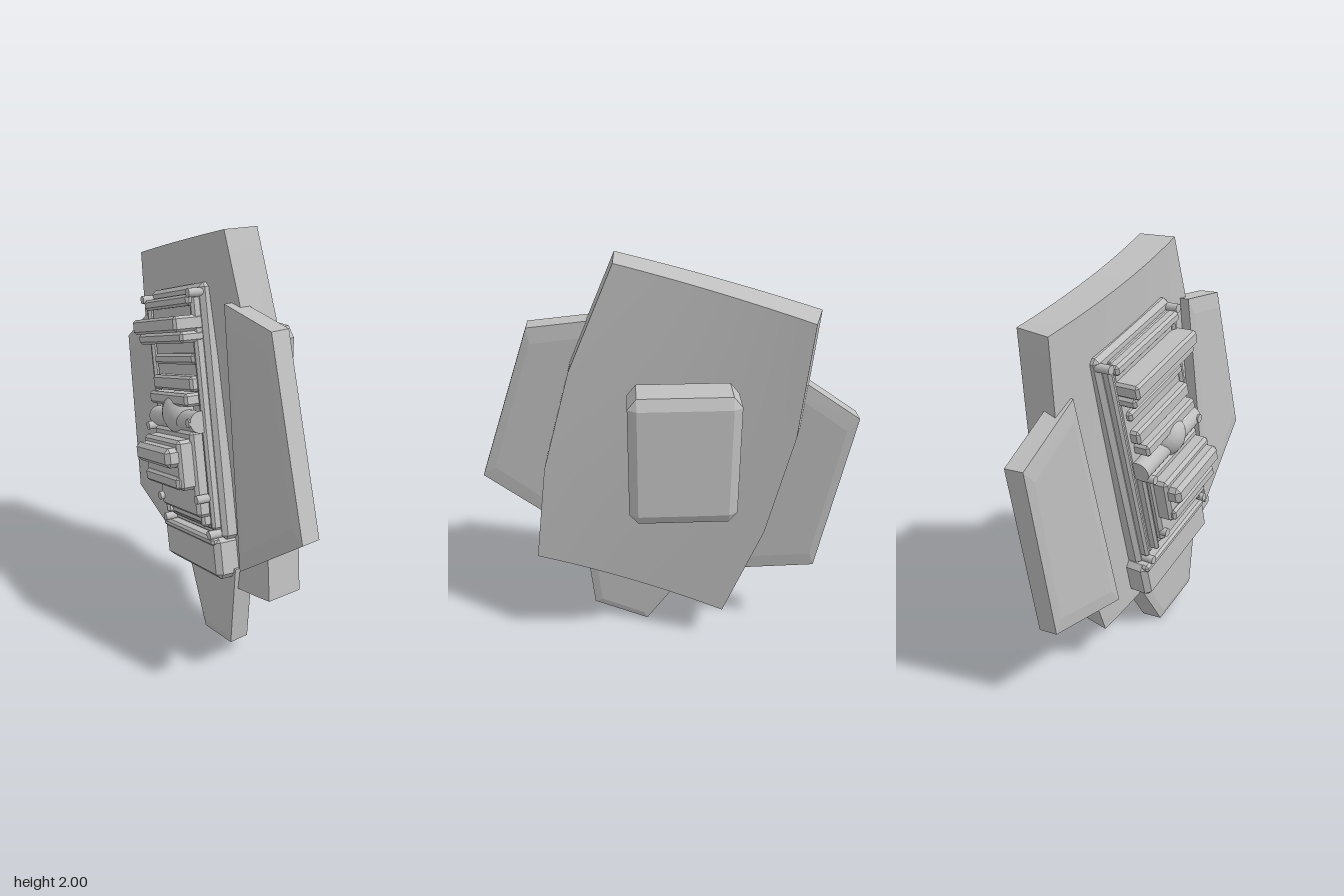
import * as THREE from 'three';
import { ConvexGeometry } from 'three/addons/geometries/ConvexGeometry.js';

const grey = new THREE.MeshStandardMaterial({ color: 0xc0c0c0 });
grey.name = 'plain grey';

function add(parent, name, geometry) {
  const mesh = new THREE.Mesh(geometry, grey);
  mesh.name = name;
  parent.add(mesh);
  return mesh;
}

// Box with all edges chamfered by c (one number or one per axis)
function chamferBox(w, h, d, c) {
  const cut = Array.isArray(c) ? c : [c, c, c];
  const pts = [];
  for (const x of [-1, 1]) for (const y of [-1, 1]) for (const z of [-1, 1]) {
    for (let k = 0; k < 3; k++) {
      pts.push(new THREE.Vector3(
        x * (w / 2 - (k === 0 ? 0 : cut[0])),
        y * (h / 2 - (k === 1 ? 0 : cut[1])),
        z * (d / 2 - (k === 2 ? 0 : cut[2]))));
    }
  }
  return new ConvexGeometry(pts);
}

// Flat plate from a [z, y] outline; faceX gives its outer face, with raised centres
function plate(outline, faceX, thick, raise) {
  const n = outline.length;
  const cz = outline.reduce((a, p) => a + p[0], 0) / n;
  const cy = outline.reduce((a, p) => a + p[1], 0) / n;
  const pts = [];
  for (const [z, y] of outline) {
    const iz = cz + (z - cz) * 0.8, iy = cy + (y - cy) * 0.84;
    pts.push(
      new THREE.Vector3(faceX(z, y), y, z),
      new THREE.Vector3(faceX(z, y) + thick, y, z),
      new THREE.Vector3(faceX(iz, iy) - raise, iy, iz),
      new THREE.Vector3(faceX(iz, iy) + thick + raise, iy, iz));
  }
  return new ConvexGeometry(pts);
}

// Thick curved slab, bent across its width and bulging at mid height
function slabGeometry() {
  const geo = new THREE.BoxGeometry(1, 1, 1, 1, 3, 12);
  const p = geo.attributes.position;
  const mix = THREE.MathUtils.lerp;
  for (let i = 0; i < p.count; i++) {
    const s = 0.5 - p.getZ(i), t = p.getY(i) + 0.5;
    const outer = p.getX(i) < 0;
    const bulge = t > 0.1 && t < 0.9 ? 0.07 * (1 - 2 * s) : 0;
    let x = 0.07 + 0.15 * s - (0.07 - 0.02 * s) * (1 - t) - 0.12 * s * (1 - s)
      + (0.02 + 0.05 * s) * t * (1 - t);
    let z = mix(mix(0.64, -0.30, s), mix(0.21, -0.635, s), t) + bulge;
    const y = mix(mix(0.45, 0.2, s), mix(2.0, 1.775, s), t) + bulge * 0.25;
    if (outer) {
      x -= 0.173;
      z -= 0.2 * (0.03 + 0.26 * s);
    }
    p.setXYZ(i, x, y, z);
  }
  geo.computeVertexNormals();
  return geo;
}

export function createModel() {
  const model = new THREE.Group();
  model.name = 'armourPanel';

  add(model, 'curvedSlab', slabGeometry());

  // Side wings and lower tab
  add(model, 'frontWing', plate(
    [[0.27, 1.705], [0.61, 1.66], [0.89, 0.86], [0.47, 0.535]],
    (z, y) => -0.18 - 0.08 * (z - 0.61) + 0.035 * (y - 1.66), 0.09, 0.008));
  add(model, 'backWing', plate(
    [[-0.58, 1.49], [-0.89, 1.29], [-0.76, 0.44], [-0.31, 0.36]],
    (z, y) => 0.07 - 0.2 * (z + 0.89) + 0.01 * (y - 1.29), 0.085, 0.008));
  add(model, 'lowerTab', plate(
    [[0.40, 0.50], [0.36, 0.08], [0.08, 0], [-0.18, 0.42]],
    (z) => -0.17 - 0.2 * (z - 0.36), 0.1, 0.008));

  // Pad and its mount on the concave side
  add(model, 'pad', chamferBox(0.19, 0.63, 0.49, [0.025, 0.05, 0.04])).position.set(0.275, 1.195, -0.08);
  add(model, 'padMount', chamferBox(0.17, 0.38, 0.40, 0.03)).position.set(0.135, 1.2, -0.08);
  const hinge = add(model, 'padHinge', new THREE.CylinderGeometry(0.13, 0.13, 0.46, 32));
  hinge.rotation.x = Math.PI / 2;
  hinge.position.set(0.185, 1.2, -0.08);

  // Machinery on the convex side: u to the front, v up, h outwards
  const details = new THREE.Group();
  details.name = 'machinery';
  const e1 = new THREE.Vector3(-0.16, 0.25, 0.96).normalize();
  const e2 = new THREE.Vector3(0.065, 0.97, -0.25);
  e2.addScaledVector(e1, -e1.dot(e2)).normalize();
  const out = new THREE.Vector3().crossVectors(e1, e2);
  details.quaternion.setFromRotationMatrix(new THREE.Matrix4().makeBasis(e1, e2, out));
  details.position.set(-0.115, 1.13, -0.058);
  model.add(details);

  const block = (name, u, v, w, h, h0, h1, c = 0.012) =>
    add(details, name, chamferBox(w, h, h1 - h0, c)).position.set(u, v, (h0 + h1) / 2);

  block('basePlate', 0, 0, 0.58, 1.16, -0.08, 0.01, 0.02);
  block('innerPlate', 0.01, 0, 0.48, 1.08, 0, 0.035, 0.012);
  for (const side of [-1, 1]) {
    block('outerRail', 0.25 * side, 0, 0.035, 1.06, 0, 0.05);
    block('innerRail', 0.2 * side, -0.29, 0.03, 0.46, 0.02, 0.075);
  }

  // Cross bars
  block('topBar', 0.01, 0.51, 0.5, 0.05, 0, 0.07);
  block('upperBar', 0.02, 0.41, 0.5, 0.07, 0, 0.145);
  block('upperBarLip', 0.02, 0.35, 0.5, 0.05, 0, 0.12);
  block('slatBar', 0.02, 0.25, 0.44, 0.05, 0, 0.06);
  block('middleBar', 0.02, 0.14, 0.44, 0.07, 0, 0.08);
  block('middleBarLip', 0.02, 0.07, 0.42, 0.06, 0, 0.11);

  // Roller and low dome
  const roller = add(details, 'roller', new THREE.CylinderGeometry(0.05, 0.05, 0.48, 20));
  roller.rotation.z = Math.PI / 2;
  roller.position.set(0.02, -0.03, 0.06);
  add(details, 'dome', new THREE.SphereGeometry(0.11, 28, 16)).position.set(0.04, 0, 0.03);

  // Stepped block stack
  block('stackBase', 0.02, -0.27, 0.42, 0.4, 0, 0.1, 0.015);
  block('stackMiddle', 0.02, -0.22, 0.4, 0.23, 0.08, 0.165, 0.015);
  block('stackTop', 0.02, -0.18, 0.38, 0.09, 0.12, 0.22, 0.02);
  block('stackFoot', 0.02, -0.3, 0.38, 0.06, 0.12, 0.18);
  block('lowerSlat', 0.02, -0.49, 0.38, 0.05, 0, 0.06);

  // Ledge below the panel
  block('lowerLedge', -0.02, -0.665, 0.59, 0.2, -0.09, 0.05, 0.025);
  block('ledgeLip', -0.02, -0.585, 0.56, 0.04, -0.02, 0.06);

  // Pins
  const pinGeo = new THREE.CylinderGeometry(0.02, 0.02, 0.1, 14).rotateX(Math.PI / 2);
  const pins = [[-0.27, 0.54, 0.015], [0.265, 0.54, 0.015], [-0.25, -0.55, 0.02], [0.25, -0.55, 0.02],
    [-0.2, -0.07, 0.08], [0.24, -0.03, 0.065], [-0.17, -0.42, 0.07], [0.24, -0.38, 0.06]];
  for (const [u, v, h] of pins) add(details, 'pin', pinGeo).position.set(u, v, h);

  return model;
}
